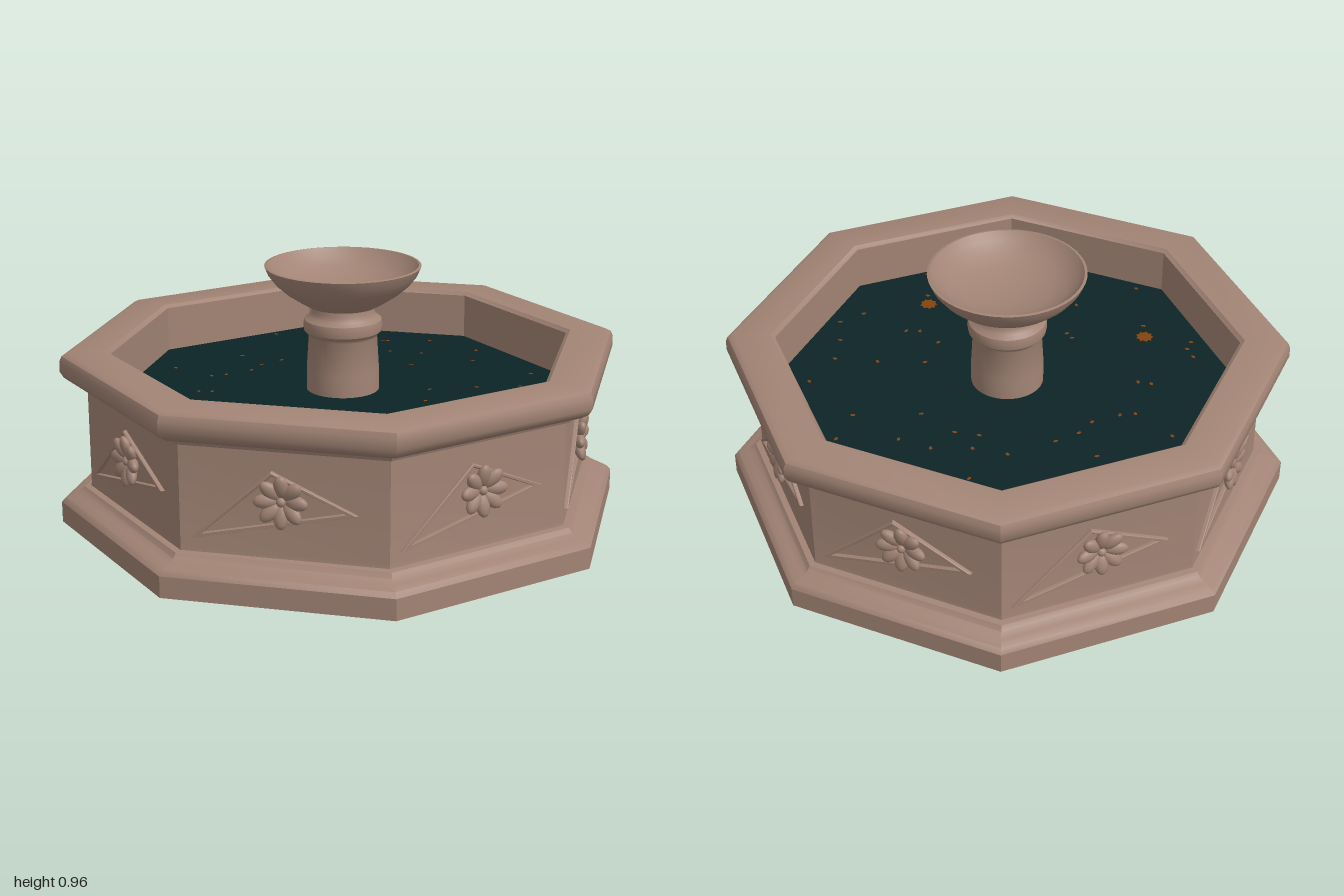
import * as THREE from 'three';
import { toCreasedNormals } from 'three/addons/utils/BufferGeometryUtils.js';

const stone = new THREE.MeshStandardMaterial({ color: 0xa28475 });
stone.name = 'stone';
const waterMat = new THREE.MeshStandardMaterial({ color: 0x0c2426 });
waterMat.name = 'dark water';
const leafMat = new THREE.MeshStandardMaterial({ color: 0x87420f });
leafMat.name = 'autumn orange';

const WATER = 0.48, WALL = 0.893, SIDES = 8;
const CORNER = 1 / Math.cos(Math.PI / SIDES); // flat distance to corner radius

function add(parent, geometry, material, name) {
  const mesh = new THREE.Mesh(geometry, material);
  mesh.name = name;
  parent.add(mesh);
  return mesh;
}

// Turned profile, given as [radius, height] pairs
function turned(points, segments, scale = 1, start = 0) {
  const pts = points.map(([r, y]) => new THREE.Vector2(r * scale, y));
  return toCreasedNormals(new THREE.LatheGeometry(pts, segments, start), 0.6);
}

// Flat shape lying on the water
function floating(geometry) {
  return geometry.rotateX(-Math.PI / 2);
}

// Slim triangular frame, its bars even in width
function frameGeometry() {
  const tri = [[-0.335, 0.19], [-0.04, 0.458], [0.26, 0.322]].map(([x, y]) => new THREE.Vector2(x, y));
  const len = tri.map((_, i) => tri[(i + 1) % 3].distanceTo(tri[(i + 2) % 3]));
  const centre = new THREE.Vector2();
  tri.forEach((p, i) => centre.addScaledVector(p, len[i] / (len[0] + len[1] + len[2])));
  const shape = new THREE.Shape(tri);
  shape.holes.push(new THREE.Path(tri.map(p => p.clone().lerp(centre, 0.15)).reverse()));
  return new THREE.ExtrudeGeometry(shape, {
    depth: 0.014, bevelEnabled: true, bevelThickness: 0.004, bevelSize: 0.004, bevelOffset: -0.004, bevelSegments: 1,
  });
}

// Carved flower: petals around a small button
function createFlower() {
  const flower = new THREE.Group();
  flower.name = 'flower';
  const petalShape = new THREE.SphereGeometry(1, 12, 8).scale(0.027, 0.046, 0.02);
  const petals = 8;
  for (let i = 0; i < petals; i++) {
    const arm = new THREE.Group();
    arm.name = 'petalArm';
    arm.rotation.z = (i / petals) * Math.PI * 2;
    const petal = add(arm, petalShape, stone, 'petal');
    petal.position.set(0, 0.052, 0.02);
    petal.rotation.x = 0.3;
    flower.add(arm);
  }
  const button = add(flower, new THREE.SphereGeometry(0.018, 12, 8), stone, 'flowerCentre');
  button.position.z = 0.018;
  return flower;
}

export function createModel() {
  const model = new THREE.Group();
  model.name = 'fountain';

  // Octagonal basin: plinth, wall, overhanging rim and inner wall
  add(model, turned([
    [0, 0], [1, 0], [1, 0.08], [0.985, 0.098], [0.955, 0.108], [0.93, 0.12], [0.918, 0.137],
    [0.895, 0.14], [WALL, 0.155], [WALL, 0.528], [0.905, 0.53], [0.912, 0.548], [0.945, 0.555],
    [0.972, 0.572], [0.985, 0.595], [0.985, 0.635], [0.977, 0.655], [0.955, 0.667],
    [0.825, 0.667], [0.81, 0.655], [0.81, WATER - 0.02],
  ], SIDES, CORNER, Math.PI / SIDES), stone, 'basin');

  // Water surface
  const water = add(model, floating(new THREE.CircleGeometry(0.81 * CORNER, SIDES, Math.PI / SIDES)), waterMat, 'water');
  water.position.y = WATER;

  // Column with collar
  add(model, turned([
    [0.138, WATER - 0.02], [0.138, 0.56], [0.13, 0.69], [0.135, 0.7], [0.147, 0.712], [0.15, 0.735],
    [0.146, 0.755], [0.128, 0.768], [0.118, 0.785], [0.118, 0.815],
  ], 40), stone, 'column');

  // Shallow bowl, outside then inside
  add(model, turned([
    [0, 0.807], [0.13, 0.807], [0.165, 0.827], [0.215, 0.86], [0.255, 0.895], [0.282, 0.93], [0.295, 0.962],
    [0.285, 0.964], [0.262, 0.935], [0.22, 0.905], [0.16, 0.88], [0.08, 0.866], [0, 0.862],
  ], 48), stone, 'bowl');

  // Carved ornament on each of the eight walls
  const frame = frameGeometry();
  for (let i = 0; i < SIDES; i++) {
    const panel = new THREE.Group();
    panel.name = 'wallOrnament';
    panel.rotation.y = (i / SIDES) * Math.PI * 2;
    add(panel, frame, stone, 'triangleFrame').position.z = WALL - 0.003;
    const flower = createFlower();
    flower.position.set(-0.003, 0.355, WALL);
    panel.add(flower);
    model.add(panel);
  }

  // Small leaves scattered on the water, as x, z in hundredths
  const spots = [
    -44, -65, -4, -65, 2, -65, 4, -66, 21, -70, -12, -61, 42, -60, 21, -51, 8, -51, -6, -45,
    -19, -43, -5, -37, 4, -39, 43, -45, 20, -34, -49, -31, -32, -29, -38, -21, -40, -13, -48, -5,
    -53, -2, -70, -9, 50, -11, 68, -33, 66, -16, 70, -4, 76, 7, 70, 16, 33, -4, 34, 10,
    49, 12, 44, 14, -47, 17, -52, 18, -79, 12, -61, 41, -57, 45, -57, 50, -36, 53, -13, 34,
    -10, 36, 34, 47, 31, 63, 27, 66, 20, 70, -6, 56, -24, 77, -1, 76, 59, 52, 52, 38,
  ];
  const leafShape = floating(new THREE.CircleGeometry(0.011, 5).scale(1, 0.65, 1));
  for (let i = 0; i < spots.length; i += 2) {
    const leaf = add(model, leafShape, leafMat, 'leaf');
    leaf.position.set(spots[i] / 100, WATER + 0.003, spots[i + 1] / 100);
    leaf.rotation.y = i * 1.7;
  }

  // Two larger ragged leaf clumps
  const rim = Array.from({ length: 18 }, (_, i) => {
    const a = (i / 18) * Math.PI * 2, r = i % 2 ? 0.027 : 0.036;
    return new THREE.Vector2(Math.cos(a) * r, Math.sin(a) * r);
  });
  const clumpShape = floating(new THREE.ShapeGeometry(new THREE.Shape(rim)));
  for (const [x, z] of [[-0.39, 0.46], [0.49, 0.325]]) {
    add(model, clumpShape, leafMat, 'leafClump').position.set(x, WATER + 0.004, z);
  }
  return model;
}
